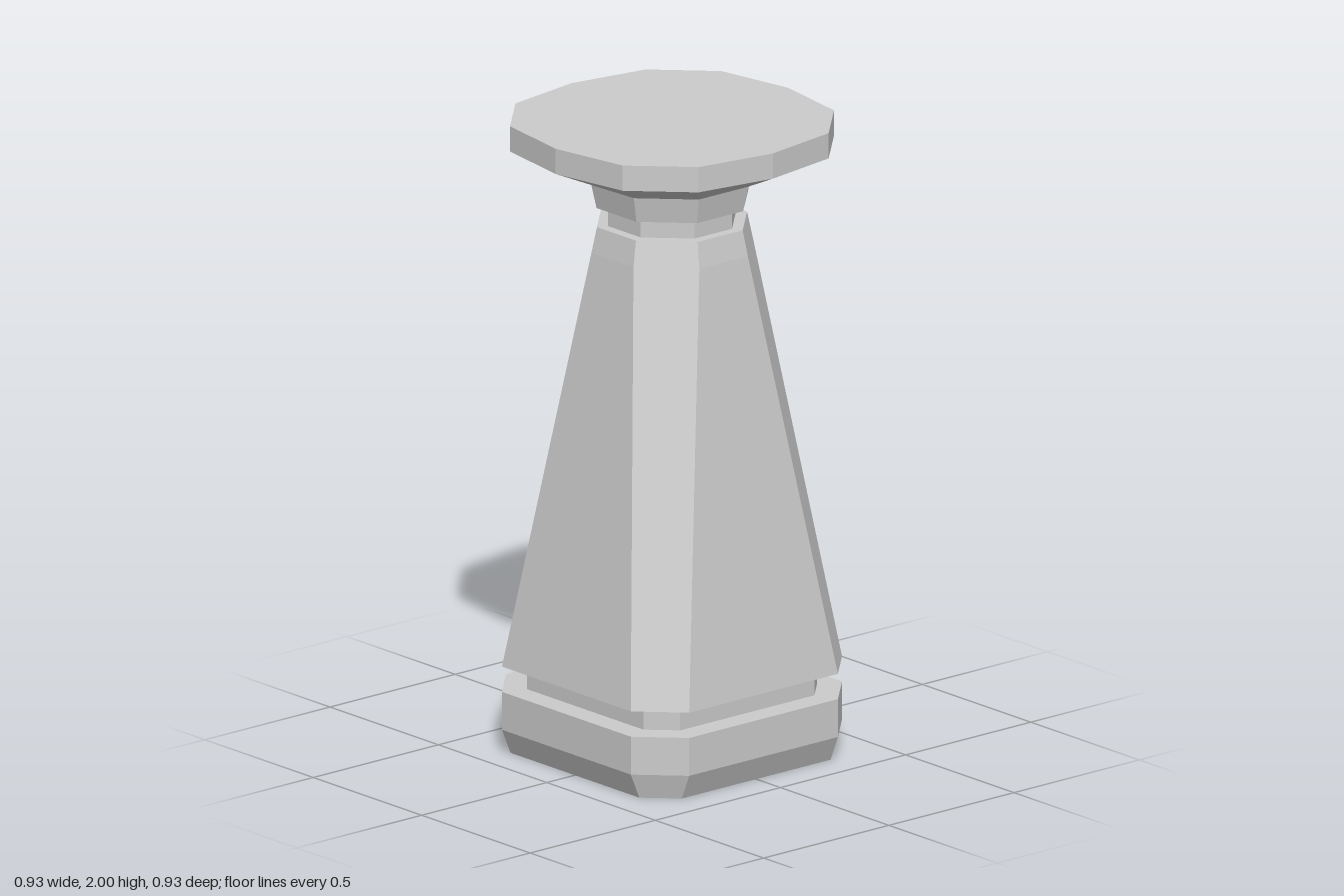
import * as THREE from 'three';

const SIDES = 12;

// Square section with cut corners: half width, corner position along the side,
// and the reach of each side's midpoint (bulges the section into a 12-gon).
function section([y, half, corner, mid = half]) {
  const ring = [];
  let quarter = [[mid, 0], [half, corner], [corner, half]];
  for (let q = 0; q < 4; q++) {
    quarter.forEach(([x, z]) => ring.push(new THREE.Vector3(x, y, z)));
    quarter = quarter.map(([x, z]) => [-z, x]);
  }
  return ring;
}

// Closed, faceted solid through a stack of sections, bottom to top
function loft(name, rows, material) {
  const rings = rows.map(section);
  const tris = [];
  const bottom = rings[0], top = rings[rings.length - 1];
  const bottomCentre = new THREE.Vector3(0, bottom[0].y, 0);
  const topCentre = new THREE.Vector3(0, top[0].y, 0);
  for (let i = 0; i < SIDES; i++) {
    const j = (i + 1) % SIDES;
    for (let k = 0; k < rings.length - 1; k++) {
      const low = rings[k], high = rings[k + 1];
      tris.push(low[i], high[i], high[j], low[i], high[j], low[j]);
    }
    tris.push(bottomCentre, bottom[i], bottom[j]);
    tris.push(topCentre, top[j], top[i]);
  }
  const geometry = new THREE.BufferGeometry().setFromPoints(tris);
  geometry.computeVertexNormals();
  const mesh = new THREE.Mesh(geometry, material);
  mesh.name = name;
  return mesh;
}

export function createModel() {
  const group = new THREE.Group();
  group.name = 'pedestal';
  const grey = new THREE.MeshStandardMaterial({ color: 0xcccccc, flatShading: true });

  // Each row: height, half width, corner position, optional midpoint reach
  const parts = {
    base: [[0, 0.388, 0.297], [0.08, 0.422, 0.297], [0.2, 0.422, 0.297]],
    lowerGroove: [[0.2, 0.347, 0.268], [0.28, 0.347, 0.268]],
    column: [[0.28, 0.422, 0.297], [1.6, 0.238, 0.097], [1.68, 0.222, 0.09]],
    upperGroove: [[1.68, 0.19, 0.075], [1.74, 0.19, 0.075]],
    neck: [[1.74, 0.222, 0.092], [1.82, 0.238, 0.099]],
    tableTop: [[1.82, 0.238, 0.099], [1.92, 0.422, 0.26, 0.465], [2, 0.422, 0.26, 0.465]],
  };
  for (const [name, rows] of Object.entries(parts)) group.add(loft(name, rows, grey));

  return group;
}
